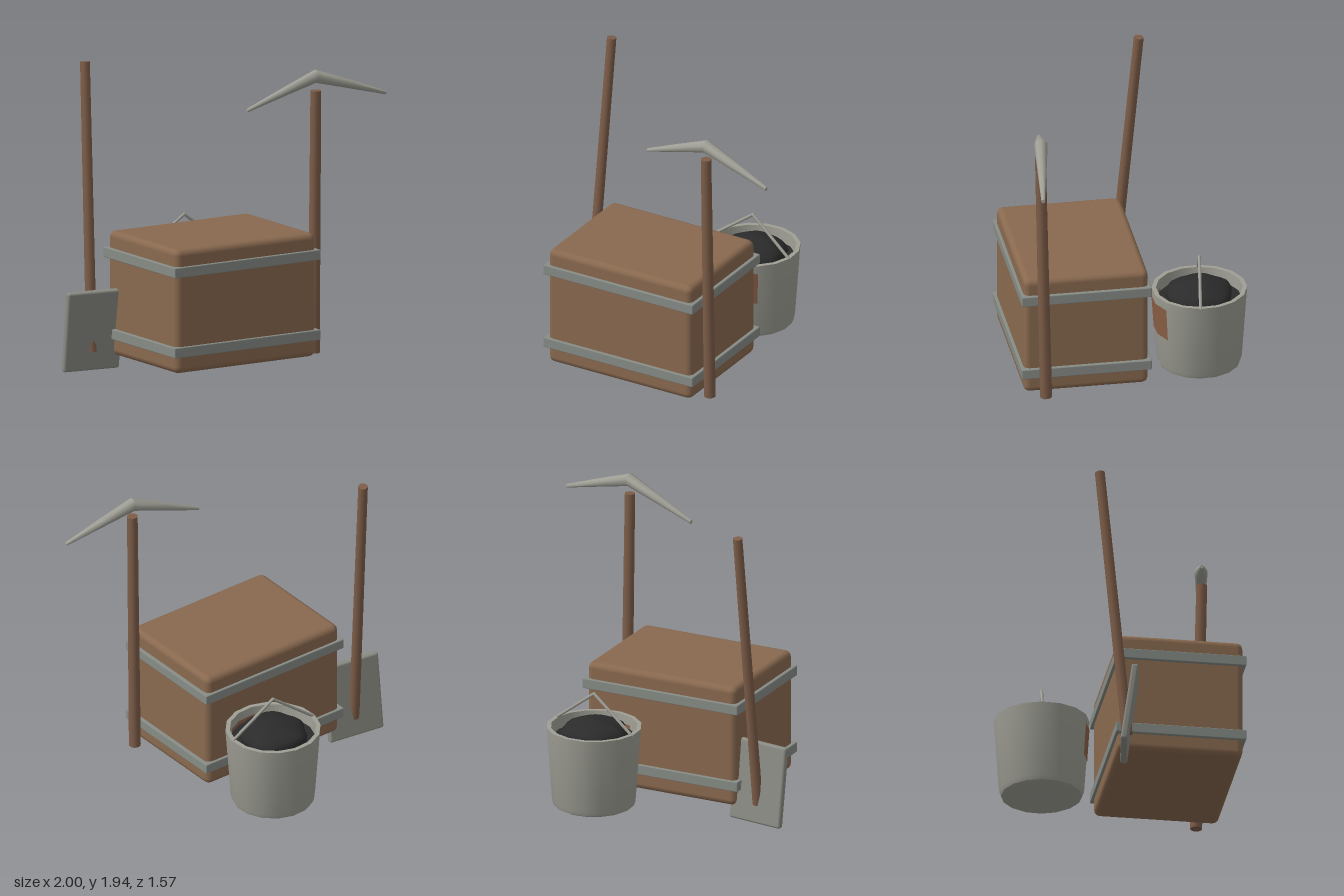
import * as THREE from 'three';
import { toCreasedNormals } from 'three/addons/utils/BufferGeometryUtils.js';
import { RoundedBoxGeometry } from 'three/addons/geometries/RoundedBoxGeometry.js';

const mat = (name, color, side = THREE.FrontSide) => {
  const m = new THREE.MeshStandardMaterial({ color, side });
  m.name = name;
  return m;
};

const V = (x, y, z) => new THREE.Vector3(x, y, z);

function add(parent, name, geometry, material, x = 0, y = 0, z = 0) {
  const mesh = new THREE.Mesh(geometry, material);
  mesh.name = name;
  mesh.position.set(x, y, z);
  parent.add(mesh);
  return mesh;
}

function group(parent, name) {
  const g = new THREE.Group();
  g.name = name;
  parent.add(g);
  return g;
}

// Tapered rod between two points
function rod(parent, name, material, a, b, ra, rb, sides) {
  const dir = b.clone().sub(a);
  const mesh = add(parent, name, new THREE.CylinderGeometry(rb, ra, dir.length(), sides), material);
  mesh.position.copy(a).add(b).multiplyScalar(0.5);
  mesh.quaternion.setFromUnitVectors(V(0, 1, 0), dir.normalize());
  return mesh;
}

// Bent, tapered pick head lofted through [x, y, half height, half depth] sections
function pickHeadGeometry(sections, sides = 10) {
  const pos = [], idx = [];
  for (const [x, y, h, d] of sections)
    for (let j = 0; j < sides; j++) {
      const a = (j / sides) * Math.PI * 2;
      pos.push(x, y + Math.cos(a) * h, Math.sin(a) * d);
    }
  for (let i = 0; i < sections.length - 1; i++)
    for (let j = 0; j < sides; j++) {
      const a = i * sides + j, b = i * sides + (j + 1) % sides;
      idx.push(a, a + sides, b, b, a + sides, b + sides);
    }
  const last = (sections.length - 1) * sides;
  for (let j = 1; j < sides - 1; j++) {
    idx.push(0, j, j + 1);
    idx.push(last, last + j + 1, last + j);
  }
  // Wind every face outward
  const g = new THREE.BufferGeometry();
  g.setAttribute('position', new THREE.Float32BufferAttribute(pos, 3));
  for (let i = 0; i < idx.length; i += 3) {
    const [a, b, c] = [0, 1, 2].map(k => V(pos[idx[i + k] * 3], pos[idx[i + k] * 3 + 1], pos[idx[i + k] * 3 + 2]));
    const mid = a.clone().add(b).add(c).divideScalar(3);
    const s = sections.map(q => V(q[0], q[1], 0)).sort((p, q) => p.distanceTo(mid) - q.distanceTo(mid));
    const axis = V(0, 0, 0);
    const n = b.clone().sub(a).cross(c.clone().sub(a));
    const t = idx[i] === 0 && idx[i + 1] < sides && idx[i + 2] < sides;
    const e = idx[i] >= last && idx[i + 1] >= last && idx[i + 2] >= last;
    if (t) axis.set(-1, 0, 0);
    else if (e) axis.set(1, 0, 0);
    else {
      // Radial direction measured from the centre line at this x
      const k = Math.max(1, sections.findIndex(q => q[0] >= mid.x));
      const p = sections[k - 1], q = sections[k];
      const u = (mid.x - p[0]) / (q[0] - p[0]);
      axis.set(0, mid.y - (p[1] + (q[1] - p[1]) * u), mid.z);
    }
    if (s.length && n.dot(axis) < 0) [idx[i + 1], idx[i + 2]] = [idx[i + 2], idx[i + 1]];
  }
  g.setIndex(idx);
  return toCreasedNormals(g, 0.7);
}

// Lumpy mound made by pushing sphere vertices with smooth waves
function moundGeometry(rx, ry) {
  const g = new THREE.SphereGeometry(1, 24, 14);
  const p = g.attributes.position;
  for (let i = 0; i < p.count; i++) {
    const v = V().fromBufferAttribute(p, i);
    const k = 1 + 0.035 * Math.sin(5 * v.x + 1) * Math.cos(4 * v.z) + 0.03 * Math.sin(7 * v.z + 3 * v.y);
    p.setXYZ(i, v.x * rx * k, v.y * ry * k, v.z * rx * k);
  }
  g.computeVertexNormals();
  return g;
}

export function createModel() {
  const wood = mat('crate wood', 0x89694f);
  const shaftWood = mat('handle wood', 0x7d5d48);
  const band = mat('band iron', 0x878c86);
  const blade = mat('shovel steel', 0x8a8b83);
  const tin = mat('bucket tin', 0x9e9e95);
  const coal = mat('coal', 0x2b2b2c);
  const rust = mat('rust', 0x8a5f45, THREE.DoubleSide);

  const model = new THREE.Group();
  model.name = 'miningSupplies';

  // Crate with two iron bands
  const crate = group(model, 'crate');
  crate.position.set(-0.1, 0, 0.3);
  crate.rotation.y = 0.142;
  add(crate, 'crateBody', new RoundedBoxGeometry(1.045, 0.79, 0.79, 2, 0.04), wood, 0, 0.487, 0);
  for (const y of [0.232, 0.743])
    add(crate, 'crateBand', new RoundedBoxGeometry(1.09, 0.066, 0.825, 1, 0.006), band, 0, y, 0);

  // Pickaxe
  const pick = group(model, 'pickaxe');
  rod(pick, 'pickHandle', shaftWood, V(0.517, 0.09, 0.482), V(0.515, 1.77, 0.517), 0.038, 0.034, 10);
  add(pick, 'pickHead', pickHeadGeometry([
    [0.042, 1.68, 0.012, 0.012],
    [0.28, 1.772, 0.028, 0.028],
    [0.515, 1.86, 0.042, 0.043],
    [0.76, 1.788, 0.028, 0.028],
    [0.998, 1.715, 0.012, 0.012],
  ]), tin, 0, 0, 0.513);

  // Shovel leaning back against nothing, its handle set into the blade
  const shovel = group(model, 'shovel');
  const plate = add(shovel, 'shovelBlade', new RoundedBoxGeometry(0.385, 0.522, 0.045, 2, 0.015), blade, -0.808, 0.267, 0.05);
  plate.rotation.x = 0.14;
  rod(shovel, 'shovelHandle', shaftWood, V(-0.808, 0.127, 0.036), V(-0.775, 1.945, -0.135), 0.034, 0.031, 10);

  // Bucket of coal
  const bucket = group(model, 'bucket');
  bucket.position.set(0.075, 0, -0.49);
  const profile = [
    [0, 0.095], [0.235, 0.095], [0.255, 0.106], [0.266, 0.135], [0.3, 0.62],
    [0.272, 0.62], [0.245, 0.15], [0, 0.15],
  ].map(([r, y]) => new THREE.Vector2(r, y));
  add(bucket, 'bucketShell', toCreasedNormals(new THREE.LatheGeometry(profile, 16), 0.65), tin);
  const bed = add(bucket, 'coalBed', new THREE.CircleGeometry(0.267, 16), coal, 0, 0.54, 0);
  bed.rotation.x = -Math.PI / 2;
  add(bucket, 'coalHeap', moundGeometry(0.21, 0.1), coal, 0, 0.57, 0);

  // Rust patch on the outside and inside of the wall
  for (const [low, high] of [[0.286, 0.3], [0.254, 0.266]]) {
    const pts = [new THREE.Vector2(low, 0.35), new THREE.Vector2(high, 0.565)];
    add(bucket, 'rustPatch', new THREE.LatheGeometry(pts, 3, -Math.PI / 8, Math.PI * 3 / 8), rust);
  }

  // Bent wire bail
  for (const s of [-1, 1])
    rod(bucket, 'bucketBail', tin, V(s * 0.295, 0.61, 0), V(0, 0.832, 0), 0.01, 0.01, 8);
  add(bucket, 'bailPeak', new THREE.SphereGeometry(0.01, 8, 6), tin, 0, 0.832, 0);

  return model;
}
